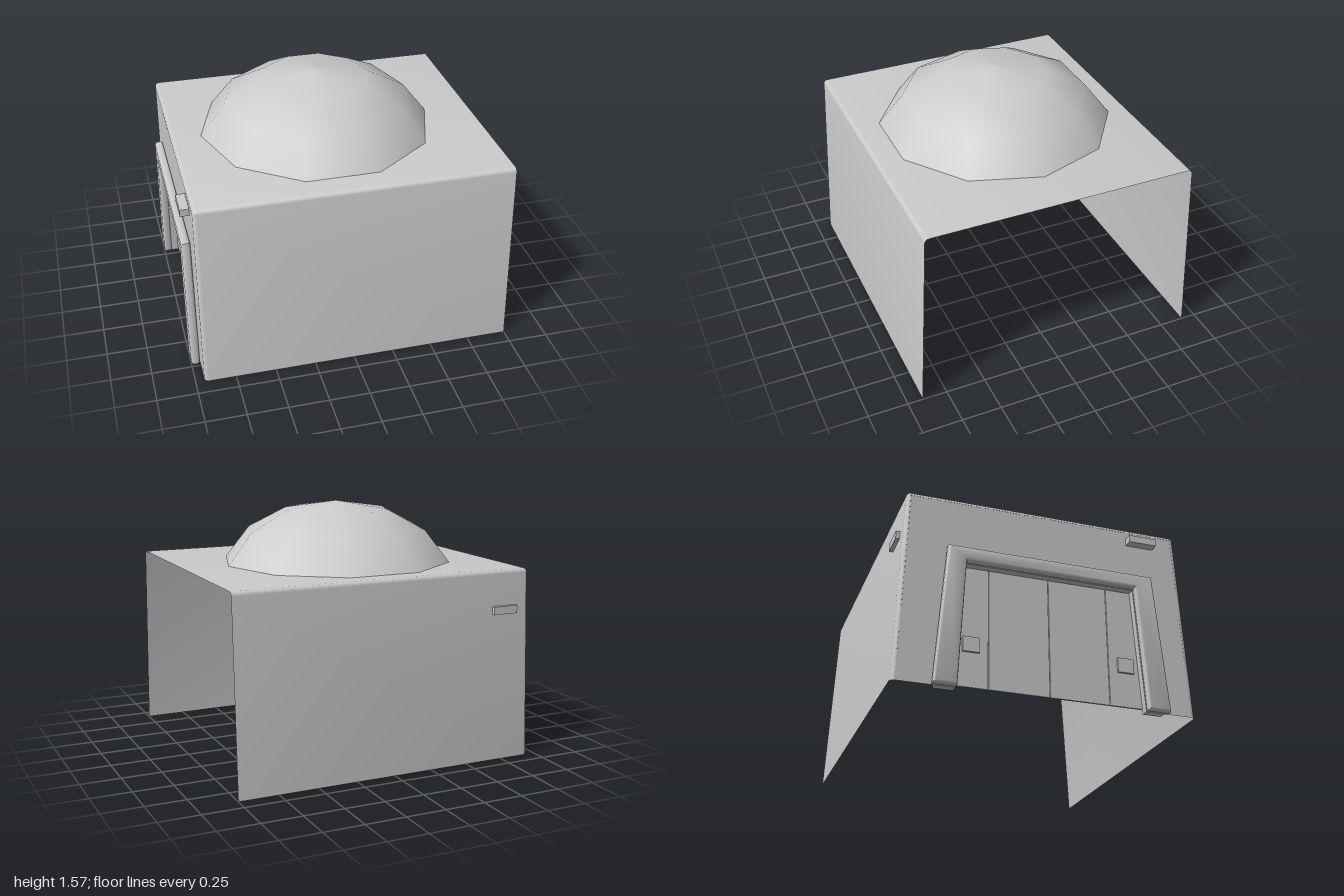
import * as THREE from 'three';
import { toCreasedNormals } from 'three/addons/utils/BufferGeometryUtils.js';

const mat = new THREE.MeshStandardMaterial({ color: 0xcccccc, side: THREE.DoubleSide });
const BACK = -0.945;   // x of the door wall
const R = 0.025;       // edge rounding
const MID = 0.025;     // z of the doorway centre

function add(group, name, geometry) {
  const mesh = new THREE.Mesh(geometry, mat);
  mesh.name = name;
  group.add(mesh);
  return mesh;
}

function box(group, name, x0, x1, y0, y1, z0, z1) {
  const mesh = add(group, name, new THREE.BoxGeometry(x1 - x0, y1 - y0, z1 - z0));
  mesh.position.set((x0 + x1) / 2, (y0 + y1) / 2, (z0 + z1) / 2);
  return mesh;
}

const shapeOf = (pts) => new THREE.Shape(pts.map(([z, y]) => new THREE.Vector2(z, y)));

// extrude a (z, y) outline from x = start toward -x
function extrudeBack(pts, start, depth, bevel = 0) {
  const g = new THREE.ExtrudeGeometry(shapeOf(pts), {
    depth: depth - 2 * bevel, bevelEnabled: bevel > 0, bevelThickness: bevel,
    bevelSize: bevel, bevelOffset: -bevel, bevelSegments: 2,
  });
  g.rotateY(-Math.PI / 2);
  g.translate(start - bevel, 0, 0);
  return toCreasedNormals(g, 0.9);
}

// doorway arch outline: tapered outer edge around a tapered opening
function arch(base, top, height) {
  return [
    [-base, 0], [-top, height], [top, height], [base, 0],
    [0.568, 0], [0.522, 0.77], [-0.522, 0.77], [-0.568, 0],
  ].map(([z, y]) => [z + MID, y]);
}

// tapered tunnel cross-section, shrunk by d, with rounded top corners
function section(d) {
  const r = Math.max(R - d, 0.0005), half = [];
  half.push([0.905 - d, 0]);
  for (let i = 0; i <= 4; i++) {
    const a = (i / 4) * Math.PI / 2;
    half.push([0.825 + r * Math.cos(a), 1.165 + r * Math.sin(a)]);
  }
  return [...half, ...half.map(([z, y]) => [-z, y]).reverse()];
}

// walls and roof as one skin, rounded where it meets the door wall
function shellGeometry() {
  const rings = [];
  for (let i = 0; i <= 4; i++) {
    const a = (i / 4) * Math.PI / 2;
    rings.push([BACK + R * (1 - Math.sin(a)), section(R * (1 - Math.cos(a)))]);
  }
  rings.reverse();
  rings.forEach((r, i) => { r[1] = section(R * (1 - Math.sin((1 - i / 4) * Math.PI / 2 + 0))); });
  rings.forEach((r, i) => {
    const a = (i / 4) * Math.PI / 2;
    r[0] = BACK + R * (1 - Math.cos(a));
    r[1] = section(R * (1 - Math.sin(a)));
  });
  rings.push([1, section(0)]);
  const pos = [], idx = [], n = rings[0][1].length;
  for (const [x, pts] of rings) for (const [z, y] of pts) pos.push(x, y, z);
  for (let i = 0; i < rings.length - 1; i++) {
    for (let j = 0; j < n - 1; j++) {
      const a = i * n + j, b = a + n;
      idx.push(a, b, a + 1, b, b + 1, a + 1);
    }
  }
  const g = new THREE.BufferGeometry();
  g.setAttribute('position', new THREE.Float32BufferAttribute(pos, 3));
  g.setIndex(idx);
  return toCreasedNormals(g, 0.5);
}

export function createModel() {
  const group = new THREE.Group();
  group.name = 'domedShelter';

  add(group, 'wallsAndRoof', shellGeometry());

  // door wall with its doorway cut out
  const wall = new THREE.ShapeGeometry(shapeOf([
    [-0.88, 0], [-0.825, 1.165], [0.825, 1.165], [0.88, 0],
    [0.708, 0], [0.63, 0.84], [-0.58, 0.84], [-0.658, 0],
  ]));
  wall.rotateY(-Math.PI / 2);
  wall.translate(BACK, 0, 0);
  add(group, 'doorWall', wall);

  // ten-sided dome, its rim dipping just below the roof
  const profile = [[0.752, 1.17], [0.58, 1.39], [0.333, 1.52], [0, 1.57]];
  const dome = add(group, 'dome', new THREE.LatheGeometry(
    profile.map(([r, y]) => new THREE.Vector2(r, y)), 10, Math.PI / 2));
  dome.position.set(-0.023, 0, -0.015);

  // door surround and the reveal behind it
  add(group, 'doorFrame', extrudeBack(arch(0.705, 0.632, 0.855), BACK, 1 + BACK, 0.015));
  add(group, 'doorReveal', extrudeBack(arch(0.683, 0.605, 0.84), -0.9, 0.05));

  // four door panels with narrow seams
  const halfAt = (y) => 0.568 - (y / 0.77) * 0.046;
  for (let i = 0; i < 4; i++) {
    const w = 0.365, gap = 0.002;
    const left = (i - 2) * w + gap, right = (i - 1) * w - gap;
    const clip = (z, y) => Math.max(-halfAt(y), Math.min(halfAt(y), z)) + MID;
    add(group, 'doorPanel', extrudeBack([
      [clip(left, 0.03), 0.03], [clip(left, 0.77), 0.77],
      [clip(right, 0.77), 0.77], [clip(right, 0.03), 0.03],
    ], -0.893, 0.012));
  }
  for (const side of [-1, 1]) {
    const z = MID + side * 0.47;
    box(group, 'doorHandle', -0.92, -0.9, 0.24, 0.33, z - 0.05, z + 0.05);
  }

  // small lamps on the outer walls
  box(group, 'doorWallLamp', -1, -0.94, 1.075, 1.12, 0.525, 0.7);
  box(group, 'sideWallLamp', -0.85, -0.685, 0.92, 0.97, -0.885, -0.84);

  return group;
}
